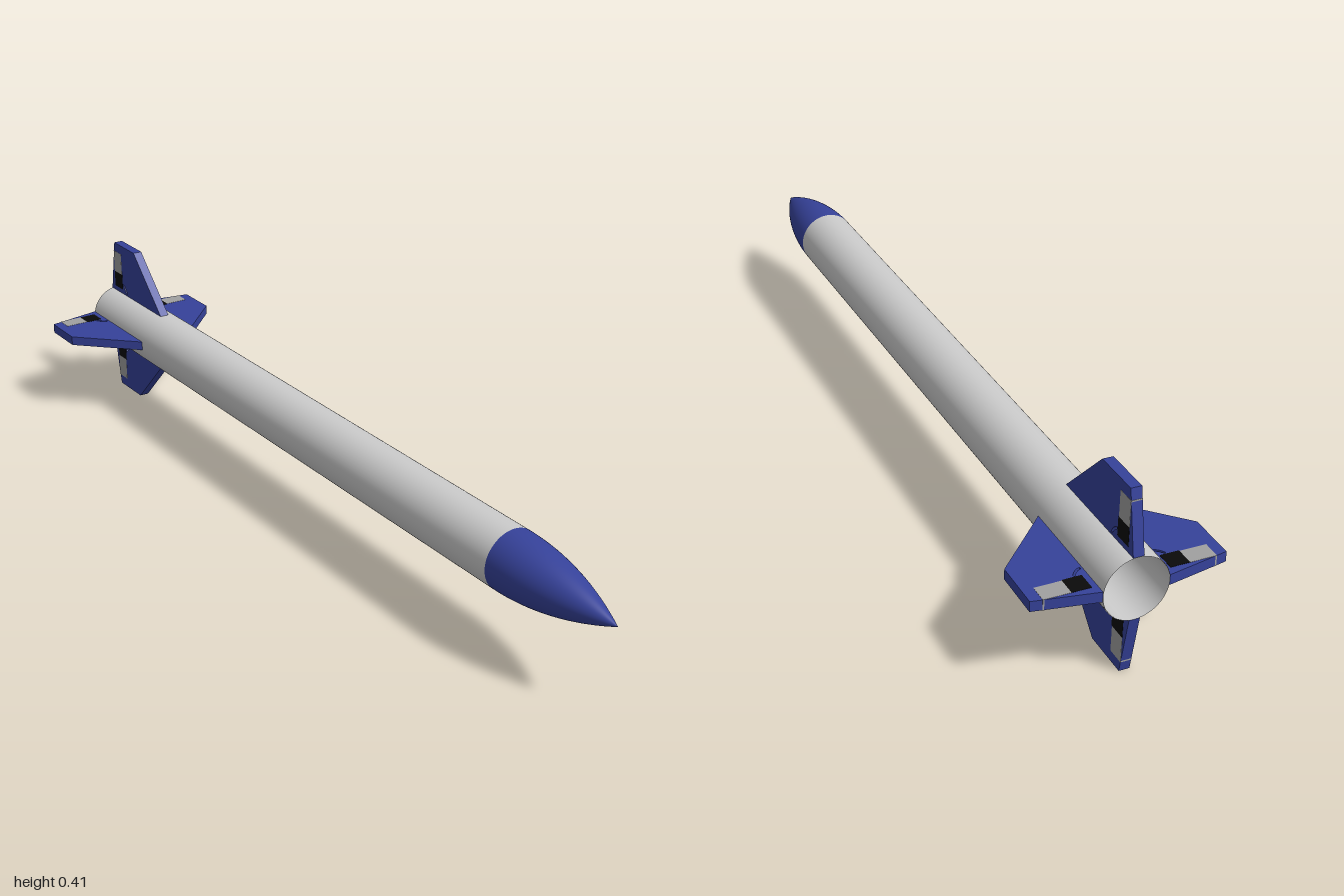
import * as THREE from 'three';

const RADIUS = 0.07, AXIS_Y = 0.206, FIN_THICKNESS = 0.023;

const material = (color) => new THREE.MeshStandardMaterial({ color, side: THREE.DoubleSide });
const grey = material(0xcccccc);
const blue = material(0x36429a);
const panelGrey = material(0xa0a0a0);
const black = material(0x0a0a0a);

function part(name, geometry, mat) {
  const mesh = new THREE.Mesh(geometry, mat);
  mesh.name = name;
  return mesh;
}

// Lathe turned so that its axis runs along z; points are [radius, z]
function turned(points) {
  const profile = points.map(([r, z]) => new THREE.Vector2(r, z));
  return new THREE.LatheGeometry(profile, 64).rotateX(Math.PI / 2);
}

// Flat fin drawn in (radius, z) and given its thickness along y
function finGeometry() {
  const shape = new THREE.Shape([
    [0.07, -0.73], [0.206, -0.866], [0.206, -0.975], [0.07, -1],
  ].map(([r, z]) => new THREE.Vector2(r, z)));

  // narrow curved slot near the root
  const slot = new THREE.Path();
  slot.moveTo(0.074, -0.914);
  slot.quadraticCurveTo(0.09, -0.918, 0.098, -0.934);
  slot.lineTo(0.094, -0.936);
  slot.quadraticCurveTo(0.087, -0.923, 0.074, -0.919);
  slot.closePath();
  shape.holes.push(slot);

  return new THREE.ExtrudeGeometry(shape, { depth: FIN_THICKNESS, bevelEnabled: false, curveSegments: 8 })
    .translate(0, 0, -FIN_THICKNESS / 2)
    .rotateX(Math.PI / 2);
}

// Block set through the fin, showing on both faces
function panelGeometry(r0, r1, z0, z1) {
  return new THREE.BoxGeometry(r1 - r0, FIN_THICKNESS + 0.001, z1 - z0)
    .translate((r0 + r1) / 2, 0, (z0 + z1) / 2);
}

export function createModel() {
  const model = new THREE.Group();
  model.name = 'rocket';

  const rocket = new THREE.Group();
  rocket.name = 'airframe';
  rocket.position.y = AXIS_Y;
  model.add(rocket);

  // Hollow body tube with a thin wall, open at the tail
  rocket.add(part('bodyTube', turned([[RADIUS, -1], [RADIUS, 0.69]]), grey));
  rocket.add(part('bodyTubeLining', turned([[RADIUS - 0.001, 0.69], [RADIUS - 0.001, -1]]), grey));

  // Pointed nose, an arc tangent to the tube
  const nose = [];
  const steps = 24;
  for (let i = 0; i <= steps; i++) {
    const t = i / steps;
    nose.push([RADIUS * (1 - t * t), 0.69 + 0.31 * t]);
  }
  rocket.add(part('noseCone', turned(nose), blue));

  // Four fins around the tail, each with its two inset panels
  const fin = finGeometry();
  const outerPanel = panelGeometry(0.124, 0.182, -0.98, -0.94);
  const innerPanel = panelGeometry(0.082, 0.124, -0.98, -0.938);
  ['leftFin', 'topFin', 'rightFin', 'bottomFin'].forEach((name, i) => {
    const group = new THREE.Group();
    group.name = name;
    group.add(
      part('finBlade', fin, blue),
      part('finOuterPanel', outerPanel, panelGrey),
      part('finInnerPanel', innerPanel, black),
    );
    group.rotation.z = i * Math.PI / 2;
    rocket.add(group);
  });

  return model;
}
